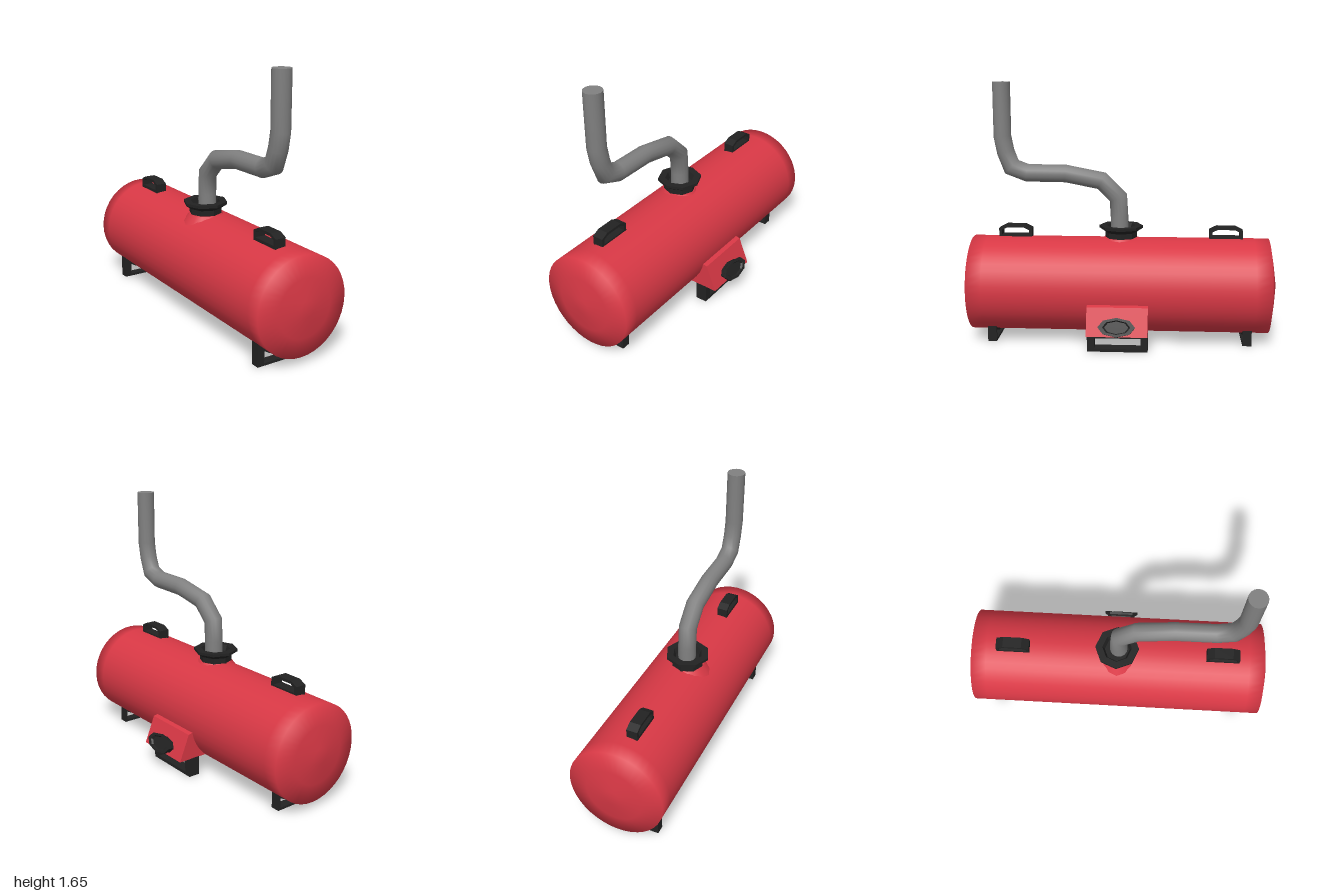
import * as THREE from 'three';

const red = new THREE.MeshStandardMaterial({ color: 0xd83845 });
const redFlat = new THREE.MeshStandardMaterial({ color: 0xd83845, flatShading: true });
const black = new THREE.MeshStandardMaterial({ color: 0x222222, flatShading: true });
const grey = new THREE.MeshStandardMaterial({ color: 0x808080 });

const TANK_X = -0.075, TANK_Y = 0.355, TANK_R = 0.305;
const vec2 = (pts) => pts.map(([x, y]) => new THREE.Vector2(x, y));

function part(group, name, geometry, material) {
  const mesh = new THREE.Mesh(geometry, material);
  mesh.name = name;
  group.add(mesh);
  return mesh;
}

// Plate from an outline and an optional hole, centred on its thickness (z)
function plate(outline, hole, depth) {
  const shape = new THREE.Shape(vec2(outline));
  if (hole) shape.holes.push(new THREE.Path(vec2(hole)));
  return new THREE.ExtrudeGeometry(shape, { depth, bevelEnabled: false }).translate(0, 0, -depth / 2);
}

// Mitred tube along points in a plane of constant x
function pipeGeometry(points, radius, sides) {
  const positions = [], index = [];
  const xAxis = new THREE.Vector3(1, 0, 0);
  points.forEach((p, i) => {
    const before = p.clone().sub(points[Math.max(i - 1, 0)]).normalize();
    const after = points[Math.min(i + 1, points.length - 1)].clone().sub(p).normalize();
    const tangent = before.clone().add(after).normalize();
    const bend = Math.max(tangent.dot(before), tangent.dot(after));
    const side = tangent.clone().cross(xAxis).multiplyScalar(1 / bend);
    for (let j = 0; j < sides; j++) {
      const a = (j / sides) * Math.PI * 2;
      const v = p.clone().addScaledVector(xAxis, radius * Math.cos(a)).addScaledVector(side, radius * Math.sin(a));
      positions.push(v.x, v.y, v.z);
      if (i < points.length - 1) {
        const k = (j + 1) % sides, r = i * sides;
        index.push(r + j, r + k, r + sides + j, r + k, r + sides + k, r + sides + j);
      }
    }
  });
  const geometry = new THREE.BufferGeometry();
  geometry.setAttribute('position', new THREE.Float32BufferAttribute(positions, 3));
  geometry.setIndex(index);
  geometry.computeVertexNormals();
  return geometry;
}

export function createModel() {
  const model = new THREE.Group();
  model.name = 'fuelTank';

  // Tank body with shallow domed ends
  const tank = part(model, 'tankBody', new THREE.LatheGeometry(vec2([
    [0, -1], [0.05, -1], [0.18, -0.979], [TANK_R, -0.955], [TANK_R, -0.86],
    [TANK_R, 0.86], [TANK_R, 0.955], [0.18, 0.979], [0.05, 1], [0, 1],
  ]), 40), red);
  tank.rotation.x = Math.PI / 2;
  tank.position.set(TANK_X, TANK_Y, 0);

  // Filler neck: red collar and flared octagonal flange
  part(model, 'neckCollar', new THREE.CylinderGeometry(0.105, 0.15, 0.06, 16), red).position.set(-0.106, 0.63, 0);
  part(model, 'fillerFlange', new THREE.LatheGeometry(vec2([
    [0.103, 0.63], [0.103, 0.695], [0.14, 0.72], [0.14, 0.737], [0.095, 0.737], [0.08, 0.7], [0, 0.7],
  ]), 8), black).position.set(-0.106, 0, -0.005);

  // Bent pipe rising out of the neck
  const path = [
    [0.69, 0.005], [0.79, 0.005], [0.92, 0.013], [1.027, 0.12], [1.072, 0.35], [1.075, 0.6],
    [1.113, 0.7], [1.21, 0.737], [1.31, 0.756], [1.655, 0.756],
  ].map(([y, z]) => new THREE.Vector3(-0.098, y, z));
  part(model, 'pipe', pipeGeometry(path, 0.057, 16), grey);
  const pipeEnd = part(model, 'pipeEnd', new THREE.CircleGeometry(0.057, 16), grey);
  pipeEnd.rotation.x = -Math.PI / 2;
  pipeEnd.position.copy(path[path.length - 1]);

  // Outline of an end stand: open frame whose top follows the tank
  const arc = [];
  for (let i = 0; i <= 10; i++) {
    const x = 0.08 - 0.033 * i;
    arc.push([x, TANK_Y - Math.sqrt(0.318 ** 2 - (x - TANK_X) ** 2)]);
  }
  const tankArc = [];
  for (let i = 0; i <= 10; i++) {
    const x = 0.095 - 0.039 * i;
    tankArc.push([x, TANK_Y - Math.sqrt(0.298 ** 2 - (x - TANK_X) ** 2)]);
  }
  const standOutline = [[-0.295, 0], [0.095, 0], ...tankArc];
  const standHole = [[-0.25, 0.015], [0.08, 0.015], ...arc];

  // Carrying handles and end stands, front and back
  for (const [label, s] of [['front', 1], ['back', -1]]) {
    const handle = part(model, label + 'Handle', plate(
      [[-0.107, 0.645], [0.107, 0.645], [0.107, 0.712], [0.06, 0.735], [-0.06, 0.735], [-0.107, 0.712]],
      [[-0.088, 0.67], [0.088, 0.67], [0.088, 0.702], [0.055, 0.718], [-0.055, 0.718], [-0.088, 0.702]],
      0.07), black);
    handle.rotation.y = -Math.PI / 2;
    handle.position.set(-0.108, 0, s * 0.682);

    part(model, label + 'Stand', plate(standOutline, standHole, 0.057), black).position.z = s * 0.818;
  }

  // Side outlet: wedge housing on the tank's left
  part(model, 'outletHousing', plate(
    [[0.05, 0.122], [0.32, 0.122], [0.252, 0.29], [0.21, 0.3], [0.05, 0.3]], null, 0.38), redFlat);

  // Oval outlet cap with a recessed face, tilted with the housing
  const cap = part(model, 'outletCap', new THREE.LatheGeometry(vec2([
    [0, -0.035], [0.048, -0.035], [0.05, 0], [0.059, 0.012], [0.059, 0.028], [0.044, 0.028], [0.038, 0.018], [0, 0.018],
  ]), 8), black);
  cap.position.set(0.323, 0.184, 0);
  cap.rotation.z = -1.17;
  cap.scale.z = 1.95;

  // Open frame supporting the outlet
  const sideStand = part(model, 'outletStand', plate(
    [[-0.19, 0], [0.19, 0], [0.19, 0.124], [-0.19, 0.124]],
    [[-0.145, 0.02], [0.145, 0.02], [0.145, 0.088], [-0.145, 0.088]], 0.075), black);
  sideStand.rotation.y = -Math.PI / 2;
  sideStand.position.x = 0.21;

  return model;
}
